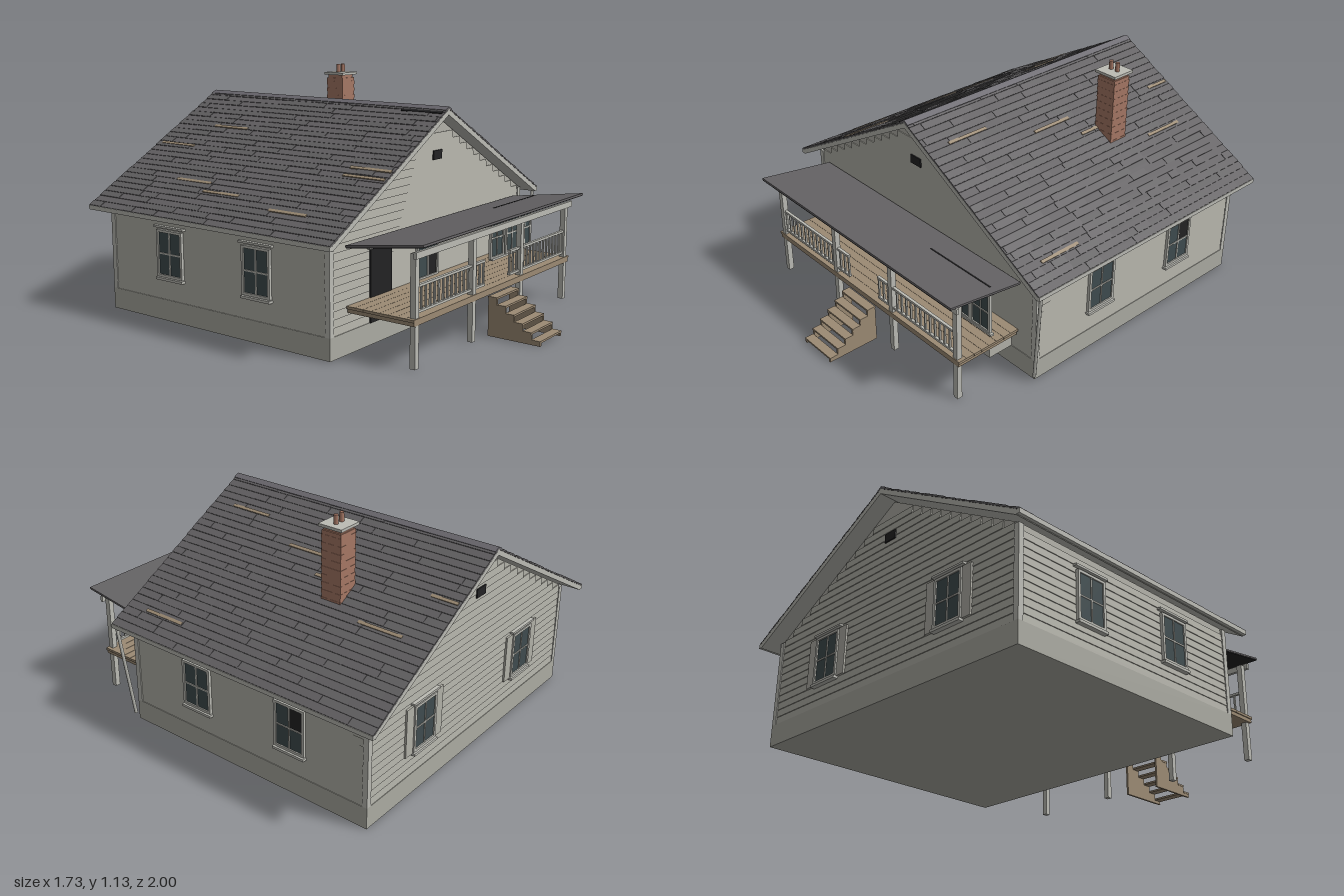
import * as THREE from 'three';

const paint = (name, hex) => {
  const m = new THREE.MeshStandardMaterial({ color: hex });
  m.name = name;
  return m;
};
const M = {
  wall: paint('siding', 0xb3b2a9),
  base: paint('foundation', 0xacaca3),
  trim: paint('trim', 0xbcbcb5),
  roof: paint('shingle', 0x636163),
  ridge: paint('ridge cap', 0x6c6a70),
  wood: paint('timber', 0x9c8b74),
  brick: paint('brick', 0xa67865),
  glass: paint('glass', 0x3f4c4f),
  black: paint('dark opening', 0x232324),
};

// Box given by centre and size
function box(parent, name, mat, [x, y, z], [w, h, d]) {
  const mesh = new THREE.Mesh(new THREE.BoxGeometry(w, h, d), mat);
  mesh.name = name;
  mesh.position.set(x, y, z);
  parent.add(mesh);
  return mesh;
}
function group(parent, name) {
  const g = new THREE.Group();
  g.name = name;
  parent.add(g);
  return g;
}
let seed = 7;
const rand = () => (seed = (seed * 16807) % 2147483647) / 2147483647;

const PITCH = Math.atan2(0.48, 0.86), SLOPE = 0.985, RIDGE = 0.99;

// Four-pane window on a local z plane; broken marks one missing pane (0..3)
function addWindow(parent, x, y, w, h, z, broken = -1, ledges = true) {
  const g = group(parent, 'window');
  g.position.set(x, y, z);
  for (let i = 0; i < 4; i++) {
    const px = (i % 2 ? 1 : -1) * w / 4, py = (i < 2 ? 1 : -1) * h / 4;
    box(g, 'pane', i === broken ? M.black : M.glass, [px, py, 0], [w / 2, h / 2, 0.006]);
  }
  for (const s of [-1, 1]) {
    box(g, 'sideFrame', M.trim, [s * (w / 2 + 0.005), 0, 0.002], [0.013, h + 0.02, 0.014]);
    box(g, 'crossFrame', M.trim, [0, s * (h / 2 + 0.005), 0.002], [w, 0.012, 0.014]);
  }
  box(g, 'uprightBar', M.trim, [0, 0, 0.003], [0.007, h, 0.007]);
  box(g, 'levelBar', M.trim, [0, 0, 0.003], [w, 0.007, 0.007]);
  if (ledges) {
    box(g, 'header', M.trim, [0, h / 2 + 0.025, 0.002], [w + 0.05, 0.01, 0.02]);
    box(g, 'sill', M.trim, [0, -h / 2 - 0.019, 0.004], [w + 0.03, 0.012, 0.024]);
  }
}

// One wall face: local +z points outward, clad in overlapping boards
function addWall(parent, name, pos, turn, half, gabled) {
  const g = group(parent, name);
  g.position.set(...pos);
  g.rotation.y = turn;
  const step = 0.035, top = gabled ? 0.9 : 0.49;
  for (let y = 0.1; y + step <= top; y += step) {
    const reach = Math.min(half - 0.012, gabled ? (0.945 - y - step) / 0.558 : 9);
    const b = box(g, 'lapBoard', M.wall, [0, y + step / 2, 0.003], [reach * 2, step, 0.006]);
    b.rotation.x = -0.1;
  }
  for (const s of [-1, 1])
    box(g, 'cornerBoard', M.trim, [s * (half - 0.003), 0.305, 0.004], [0.026, 0.41, 0.012]);
  if (gabled) box(g, 'gableVent', M.black, [0, 0.77, 0.011], [0.07, 0.042, 0.006]);
  return g;
}

function addHouse(root) {
  const house = group(root, 'house');
  box(house, 'foundation', M.base, [0, 0.05, -0.265], [1.58, 0.1, 1.33]);
  const outline = new THREE.Shape();
  [[-0.78, 0.1], [0.78, 0.1], [0.78, 0.515], [0, 0.95], [-0.78, 0.515]]
    .forEach(([x, y], i) => (i ? outline.lineTo(x, y) : outline.moveTo(x, y)));
  const core = new THREE.Mesh(
    new THREE.ExtrudeGeometry(outline, { depth: 1.31, bevelEnabled: false }), M.wall);
  core.name = 'wallCore';
  core.position.z = -0.92;
  house.add(core);

  const front = addWall(house, 'frontWall', [0, 0, 0.39], 0, 0.78, true);
  const back = addWall(house, 'backWall', [0, 0, -0.92], Math.PI, 0.78, true);
  const left = addWall(house, 'leftWall', [0.78, 0, -0.265], Math.PI / 2, 0.655, false);
  const right = addWall(house, 'rightWall', [-0.78, 0, -0.265], -Math.PI / 2, 0.655, false);
  for (const s of [-1, 1]) {
    addWindow(left, s * 0.265, 0.32, 0.14, 0.2, 0.012, s > 0 ? 1 : -1);
    addWindow(right, s * 0.265, 0.32, 0.14, 0.2, 0.012);
    addWindow(back, s * 0.4, 0.32, 0.14, 0.2, 0.012);
    for (const t of [-1, 1])
      box(back, 'shutter', M.wall, [s * 0.4 + t * 0.108, 0.32, 0.01], [0.05, 0.23, 0.01]);
  }
  addWindow(front, -0.08, 0.32, 0.15, 0.2, 0.012, 3);

  // Front door with a dark lintel
  box(front, 'door', M.black, [-0.44, 0.262, 0.012], [0.155, 0.325, 0.008]);
  box(front, 'doorHead', M.trim, [-0.44, 0.433, 0.012], [0.18, 0.014, 0.012]);
  box(front, 'doorLintel', M.black, [-0.44, 0.448, 0.012], [0.19, 0.014, 0.012]);

  // Projecting triple window over a low bay base
  const bay = group(house, 'bayWindow');
  box(bay, 'bayBase', M.wall, [0.465, 0.145, 0.465], [0.35, 0.09, 0.13]);
  for (const x of [0.32, 0.465, 0.59]) addWindow(bay, x, 0.345, 0.105, 0.18, 0.535, -1, false);
  box(bay, 'baySill', M.trim, [0.465, 0.243, 0.537], [0.4, 0.01, 0.02]);
  box(bay, 'bayHeader', M.trim, [0.465, 0.458, 0.537], [0.4, 0.012, 0.02]);
}

// Place a box on a roof slope: d runs down the slope, h is height off it
function onSlope(parent, s, name, mat, d, h, z, size) {
  const c = Math.cos(PITCH), n = Math.sin(PITCH);
  const m = box(parent, name, mat, [s * (d * c + h * n), RIDGE - d * n + h * c, z], size);
  m.rotation.z = -s * PITCH;
  return m;
}

function addRoof(root) {
  const roof = group(root, 'roof');
  const rows = 26, step = SLOPE / rows;
  for (const s of [-1, 1]) {
    onSlope(roof, s, 'roofDeck', M.trim, SLOPE / 2, -0.019, -0.27, [SLOPE, 0.022, 1.46]);
    // Courses of shingles with uneven tabs
    for (let r = 0; r < rows; r++) {
      const d = (r + 0.5) * step;
      const course = onSlope(roof, s, 'shingleCourse', M.roof, d, -0.004, -0.27, [step + 0.004, 0.006, 1.46]);
      course.rotation.z -= s * -0.06;
      for (let z = -1; z < 0.4;) {
        const len = Math.min(0.05 + rand() * 0.1, 0.46 - z);
        if (rand() > 0.45)
          onSlope(roof, s, 'shingleTab', M.roof, d + 0.003, 0, z + len / 2, [step * 0.9, 0.003, len]);
        z += len;
      }
    }
    box(roof, 'gutter', M.trim, [s * 0.853, 0.497, -0.27], [0.02, 0.02, 1.46]);
  }
  // Bare battens where shingles are missing: x, start z, end z
  const bare = [[-0.41, -0.97, -0.75], [-0.26, -0.75, -0.53], [-0.63, -0.64, -0.42],
    [-0.68, -0.42, -0.2], [-0.73, 0.02, 0.23], [-0.48, 0.23, 0.45], [-0.43, 0.23, 0.45],
    [0.28, -0.99, -0.86], [0.48, -0.86, -0.64], [0.35, -0.42, -0.31], [0.26, -0.31, -0.09],
    [0.16, 0.12, 0.34], [0.75, 0.12, 0.34], [-0.04, 0.23, 0.45]];
  for (const [x, a, b] of bare)
    onSlope(roof, Math.sign(x), 'bareBatten', x === -0.04 ? M.black : M.wood,
      Math.abs(x) / Math.cos(PITCH), 0.001, (a + b) / 2, [0.015, 0.006, b - a]);
  for (const s of [-1, 1])
    onSlope(roof, s, 'ridgeCap', M.ridge, 0.014, 0.001, -0.27, [0.028, 0.006, 1.46]);

  // Leaning downspout
  const top = new THREE.Vector3(0.853, 0.5, 0.44), foot = new THREE.Vector3(0.8, 0.03, 0.412);
  const pipe = new THREE.Mesh(
    new THREE.TubeGeometry(new THREE.LineCurve3(foot, top), 1, 0.008, 8), M.trim);
  pipe.name = 'downspout';
  root.add(pipe);

  // Chimney in brick courses, slab and pots
  const chimney = group(root, 'chimney');
  chimney.position.set(0.39, 0, -0.465);
  for (let i = 0; i < 20; i++) {
    const w = 0.103 - (i % 2) * 0.002;
    box(chimney, 'brickCourse', M.brick, [0, 0.7 + (i + 0.5) * 0.018, 0], [w, 0.018, w]);
  }
  box(chimney, 'chimneyNeck', M.brick, [0, 1.068, 0], [0.09, 0.02, 0.09]);
  box(chimney, 'chimneySlab', M.trim, [0, 1.082, 0], [0.122, 0.013, 0.122]);
  for (const s of [-1, 1]) {
    const pot = new THREE.Mesh(new THREE.CylinderGeometry(0.01, 0.011, 0.044, 12), M.brick);
    pot.name = 'chimneyPot';
    pot.position.set(s * 0.019, 1.108, 0);
    chimney.add(pot);
  }
}

function addPorch(root) {
  const porch = group(root, 'porch');
  // Plank floor with an edge board
  for (let i = 0; i < 8; i++)
    box(porch, 'floorPlank', M.wood, [0, 0.207, 0.4212 + i * 0.0425], [1.36, 0.012, 0.0415]);
  box(porch, 'floorFrame', M.wood, [0, 0.193, 0.57], [1.35, 0.018, 0.335]);
  for (const x of [-0.65, -0.21, 0.21, 0.65])
    box(porch, 'post', M.trim, [x, 0.24, 0.722], [0.026, 0.48, 0.026]);
  // Railings either side of the stair
  for (const s of [-1, 1]) {
    for (const y of [0.235, 0.342])
      box(porch, 'rail', M.trim, [s * 0.38, y, 0.722], [0.54, 0.011, 0.014]);
    for (let i = 0; i <= 16; i++)
      box(porch, 'baluster', M.trim, [s * (0.115 + i * 0.0325), 0.288, 0.722], [0.008, 0.105, 0.008]);
  }
  box(porch, 'beam', M.trim, [0, 0.477, 0.742], [1.36, 0.028, 0.014]);

  // Canopy sagging back toward the house
  const canopy = group(porch, 'canopy');
  canopy.position.set(0, 0.5, 0.603);
  canopy.rotation.x = -0.142;
  box(canopy, 'canopyTop', M.roof, [0, 0, 0], [1.4, 0.008, 0.39]);
  box(canopy, 'canopyUnderside', M.black, [0, -0.006, 0], [1.395, 0.004, 0.388]);
  box(canopy, 'canopySlit', M.black, [0.465, 0.004, -0.057], [0.39, 0.003, 0.008]);

  // Open stair: sawtooth side boards and treads
  const steps = 6, run = 0.26 / steps, rise = 0.19 / steps;
  const saw = new THREE.Shape();
  saw.moveTo(0.74, 0);
  saw.lineTo(1, 0);
  for (let i = 0; i < steps; i++) {
    saw.lineTo(1 - i * run, (i + 0.6) * rise);
    saw.lineTo(1 - (i + 1) * run, (i + 0.6) * rise);
  }
  const side = new THREE.ExtrudeGeometry(saw, { depth: 0.01, bevelEnabled: false });
  side.rotateY(-Math.PI / 2);
  for (const x of [-0.088, 0.098]) {
    const board = new THREE.Mesh(side, M.wood);
    board.name = 'stairSide';
    board.position.x = x;
    porch.add(board);
  }
  for (let i = 0; i < steps; i++)
    box(porch, 'tread', M.wood, [0, (i + 0.6) * rise, 1 - (i + 0.5) * run], [0.2, 0.009, run]);
}

export function createModel() {
  const root = new THREE.Group();
  root.name = 'cottage';
  addHouse(root);
  addRoof(root);
  addPorch(root);
  return root;
}
